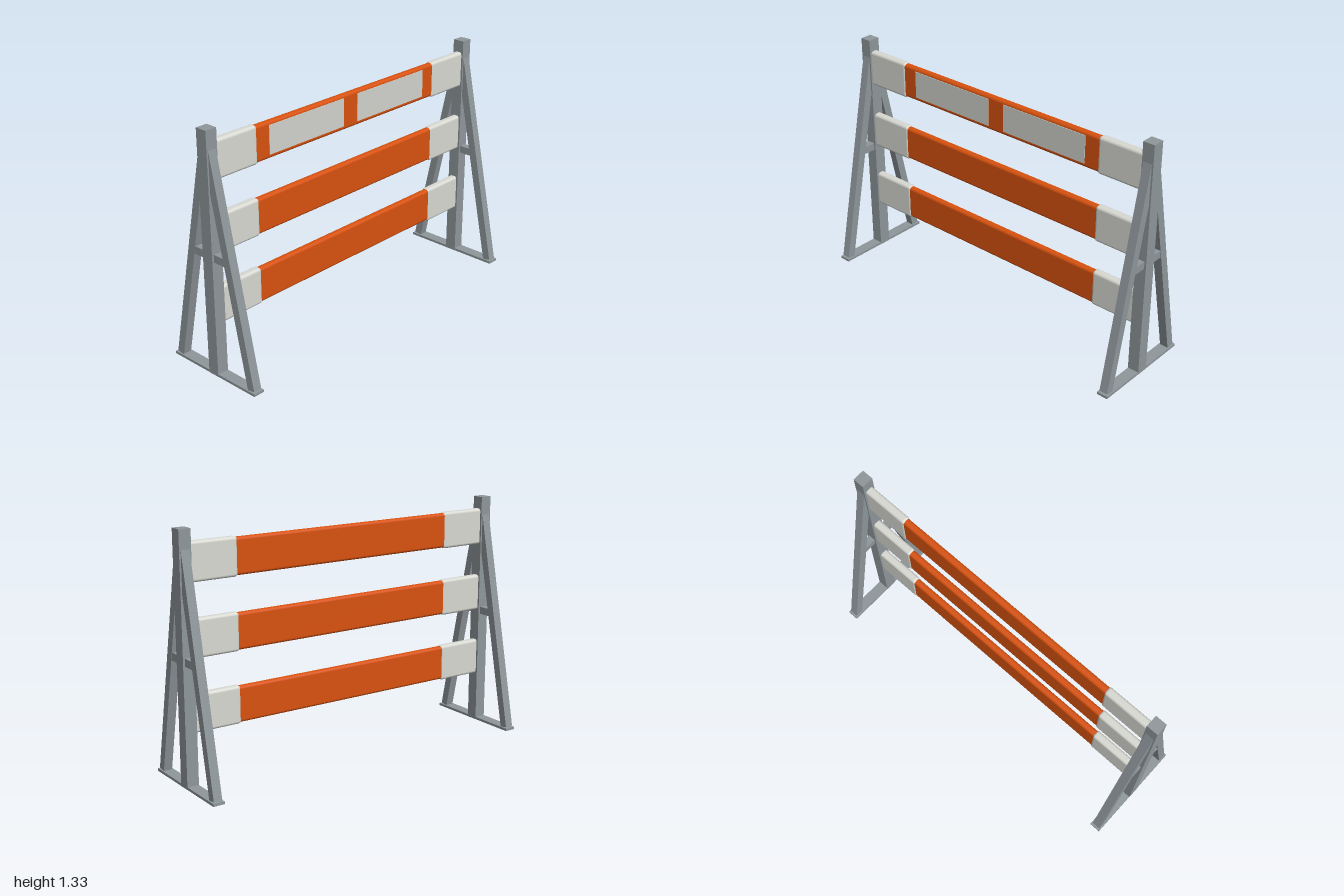
import * as THREE from 'three';
import { RoundedBoxGeometry } from 'three/addons/geometries/RoundedBoxGeometry.js';

const mat = (name, color) => {
  const m = new THREE.MeshStandardMaterial({ color });
  m.name = name;
  return m;
};

export function createModel() {
  const steel = mat('grey steel', 0x8f979b);
  const orange = mat('orange board', 0xd8520f);
  const white = mat('white sleeve', 0xd9d9d3);
  const reflector = mat('reflective panel', 0xd2d4cd);

  const root = new THREE.Group();
  root.name = 'roadBarrier';

  const add = (parent, name, geometry, material, x = 0, y = 0, z = 0) => {
    const mesh = new THREE.Mesh(geometry, material);
    mesh.name = name;
    mesh.position.set(x, y, z);
    parent.add(mesh);
    return mesh;
  };

  // Sloping leg: profile in the z-y plane, cut flush with the post
  const legWidth = 0.048;
  const legShape = new THREE.Shape([
    new THREE.Vector2(0.245, 0.012),
    new THREE.Vector2(0.29, 0.02),
    new THREE.Vector2(0.033, 1.235),
    new THREE.Vector2(0.033, 1.01),
  ]);
  const legGeometry = new THREE.ExtrudeGeometry(legShape, { depth: legWidth, bevelEnabled: false });
  legGeometry.translate(0, 0, -legWidth / 2);

  // End frames
  for (const side of [-1, 1]) {
    const frame = new THREE.Group();
    frame.name = side > 0 ? 'leftFrame' : 'rightFrame';
    frame.position.x = side * 0.967;
    root.add(frame);

    add(frame, 'post', new THREE.BoxGeometry(0.066, 1.333, 0.068), steel, 0, 0.6665, 0);
    add(frame, 'basePlate', new THREE.BoxGeometry(0.064, 0.014, 0.6), steel, 0, 0.007, 0);
    add(frame, 'crossbar', new THREE.BoxGeometry(0.044, 0.042, 0.23), steel, 0, 0.669, 0);
    for (const dir of [-1, 1]) {
      const leg = add(frame, dir > 0 ? 'frontLeg' : 'backLeg', legGeometry, steel);
      leg.rotation.y = -dir * Math.PI / 2;
    }
  }

  // Three boards, each with a sleeve at both ends
  const boardGeometry = new RoundedBoxGeometry(1.4, 0.195, 0.04, 4, 0.016);
  const sleeveGeometry = new RoundedBoxGeometry(0.295, 0.205, 0.048, 4, 0.016);
  for (const y of [0.389, 0.776, 1.163]) {
    const rail = new THREE.Group();
    rail.name = 'rail';
    rail.position.y = y;
    root.add(rail);
    add(rail, 'board', boardGeometry, orange);
    for (const side of [-1, 1]) {
      add(rail, 'endSleeve', sleeveGeometry, white, side * 0.8145, 0, 0);
    }
  }

  // Reflective panels on the front of the top board
  for (const side of [-1, 1]) {
    add(root, 'reflectorPanel', new THREE.BoxGeometry(0.535, 0.155, 0.006), reflector, side * 0.32, 1.166, 0.02);
  }
  return root;
}
